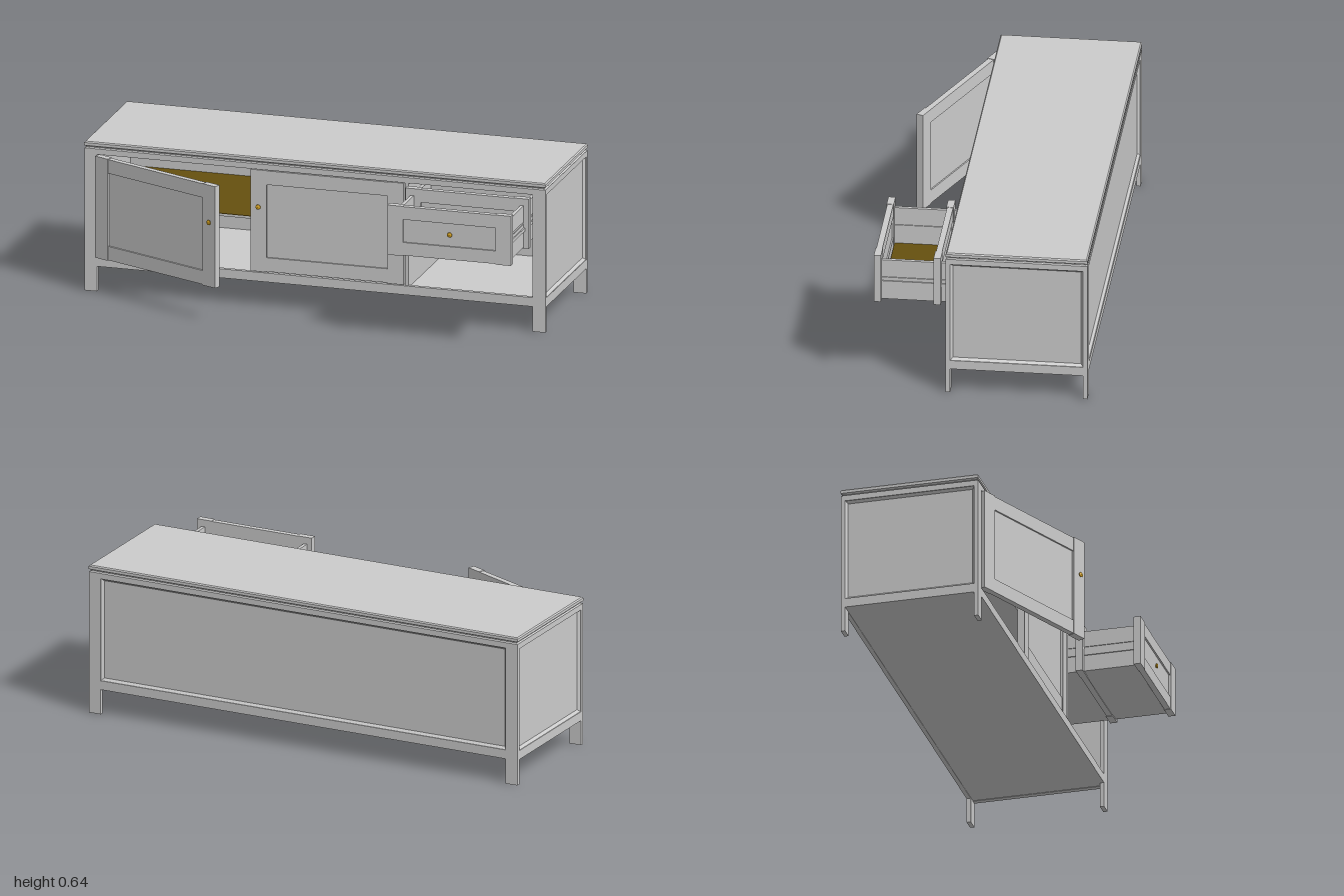
import * as THREE from 'three';

const grey = new THREE.MeshStandardMaterial({ color: 0xcccccc, flatShading: true });
const greyThin = new THREE.MeshStandardMaterial({ color: 0xcccccc, flatShading: true, side: THREE.DoubleSide });
const wood = new THREE.MeshStandardMaterial({ color: 0x66500f });
const brass = new THREE.MeshStandardMaterial({ color: 0xd9a520 });

// Box given by its limits on each axis
function box(parent, name, x0, x1, y0, y1, z0, z1, mat = grey) {
  const m = new THREE.Mesh(new THREE.BoxGeometry(x1 - x0, y1 - y0, z1 - z0), mat);
  m.position.set((x0 + x1) / 2, (y0 + y1) / 2, (z0 + z1) / 2);
  m.name = name;
  parent.add(m);
  return m;
}

// Closed or open skin through rectangles [halfWidth, halfHeight, depth], depth along +z
function rectLoft(rects) {
  const pos = [], idx = [];
  for (const [w, h, d] of rects) pos.push(-w, -h, d, w, -h, d, w, h, d, -w, h, d);
  for (let r = 0; r < rects.length - 1; r++) {
    for (let i = 0; i < 4; i++) {
      const a = r * 4 + i, b = r * 4 + (i + 1) % 4;
      idx.push(a, b, b + 4, a, b + 4, a + 4);
    }
  }
  const e = (rects.length - 1) * 4;
  idx.push(0, 2, 1, 0, 3, 2, e, e + 1, e + 2, e, e + 2, e + 3);
  const g = new THREE.BufferGeometry();
  g.setAttribute('position', new THREE.Float32BufferAttribute(pos, 3));
  g.setIndex(idx);
  const flat = g.toNonIndexed();
  flat.computeVertexNormals();
  return flat;
}

// Recessed panel with a sloping moulding, facing +z
function recessedPanel(name, w, h) {
  const g = new THREE.Group();
  g.name = name;
  box(g, 'panel', -w / 2, w / 2, -h / 2, h / 2, -0.022, -0.014);
  const b = 0.01, depth = 0.014;
  const pos = [], idx = [];
  for (const [a, c, d] of [[w / 2, h / 2, -0.003], [w / 2 - b, h / 2 - b, -depth]])
    pos.push(-a, -c, d, a, -c, d, a, c, d, -a, c, d);
  for (let i = 0; i < 4; i++) {
    const j = (i + 1) % 4;
    idx.push(i, j, j + 4, i, j + 4, i + 4);
  }
  const geo = new THREE.BufferGeometry();
  geo.setAttribute('position', new THREE.Float32BufferAttribute(pos, 3));
  geo.setIndex(idx);
  const flat = geo.toNonIndexed();
  flat.computeVertexNormals();
  const moulding = new THREE.Mesh(flat, greyThin);
  moulding.name = 'moulding';
  g.add(moulding);
  return g;
}

// Small round knob pointing to +z
function knob(parent, x, y, z) {
  const pts = [[0, 0], [0.006, 0], [0.005, 0.003], [0.011, 0.005], [0.01, 0.008], [0, 0.01]]
    .map(p => new THREE.Vector2(...p));
  const m = new THREE.Mesh(new THREE.LatheGeometry(pts, 16), brass);
  m.rotation.x = Math.PI / 2;
  m.position.set(x, y, z);
  m.name = 'knob';
  parent.add(m);
}

// Framed front: x from 0 to w, front face at z = 0, 0.03 thick
function framedFront(name, w, y0, y1, stile, rail) {
  const g = new THREE.Group();
  g.name = name;
  const t = 0.03;
  box(g, 'leftStile', 0, stile, y0, y1, -t, 0);
  box(g, 'rightStile', w - stile, w, y0, y1, -t, 0);
  box(g, 'bottomRail', stile, w - stile, y0 + 0.002, y0 + rail, -t + 0.002, -0.003);
  box(g, 'topRail', stile, w - stile, y1 - rail, y1 - 0.002, -t + 0.002, -0.003);
  box(g, 'panel', stile, w - stile, y0 + rail, y1 - rail, -0.022, -0.01);
  return g;
}

function drawer(name, z) {
  const g = framedFront(name, 0.535, 0.375, 0.59, 0.067, 0.058);
  const back = -0.5, front = -0.03;
  for (const [side, x] of [['left', 0.022], ['right', 0.498]]) {
    box(g, side + 'LowerSide', x, x + 0.015, 0.38, 0.48, back, front);
    box(g, side + 'UpperSide', x, x + 0.015, 0.49, 0.56, back, front);
    box(g, side + 'SideCore', x + 0.004, x + 0.011, 0.48, 0.49, back, front);
    const rx = side === 'left' ? x - 0.005 : x + 0.015;
    box(g, side + 'Runner', rx, rx + 0.005, 0.45, 0.465, back, front);
  }
  box(g, 'drawerBack', 0.037, 0.498, 0.38, 0.56, back, back + 0.012);
  box(g, 'drawerBottom', 0.037, 0.498, 0.386, 0.396, back + 0.012, front, wood);
  box(g, 'drawerUnderside', 0.037, 0.498, 0.38, 0.386, back + 0.012, front);
  knob(g, 0.2675, 0.483, -0.01);
  g.position.set(0.41, 0, z);
  return g;
}

export function createModel() {
  const model = new THREE.Group();
  model.name = 'sideboard';
  const zF = 0.14, zB = -0.45, zMid = (zF + zB) / 2, post = 0.055, pt = 0.018;

  // Corner posts that run down into the legs
  for (const s of [-1, 1]) {
    const x0 = s < 0 ? -0.999 : 0.999 - post;
    box(model, 'frontLeg', x0, x0 + post, 0, 0.617, zF - pt, zF);
    box(model, 'backLeg', x0, x0 + post, 0, 0.617, zB, zB + pt);
  }

  // Rails along front and back
  const inner = 0.999 - post;
  for (const [name, z0] of [['front', zF - pt], ['back', zB]]) {
    box(model, name + 'BottomRail', -inner, inner, 0.108, 0.147, z0, z0 + pt);
    box(model, name + 'TopRail', -inner, inner, 0.593, 0.617, z0, z0 + pt);
  }

  // Side rails and recessed side panels
  for (const s of [-1, 1]) {
    const x0 = s < 0 ? -0.999 : 0.975;
    box(model, 'sideBottomRail', x0, x0 + 0.024, 0.108, 0.147, zB + pt, zF - pt);
    box(model, 'sideTopRail', x0, x0 + 0.024, 0.593, 0.617, zB + pt, zF - pt);
    const p = recessedPanel('sidePanel', zF - zB - 2 * pt, 0.446);
    p.rotation.y = s * Math.PI / 2;
    p.position.set(s * 0.999, 0.37, zMid);
    model.add(p);
  }

  // Recessed back panel
  const backPanel = recessedPanel('backPanel', 2 * inner, 0.446);
  backPanel.rotation.y = Math.PI;
  backPanel.position.set(0, 0.37, zB);
  model.add(backPanel);

  // Floor, ceiling, shelf and divider
  box(model, 'floor', -0.975, 0.975, 0.11, 0.14, zB + pt, zF - pt);
  box(model, 'ceiling', -0.975, 0.975, 0.597, 0.615, zB + pt, zF - pt);
  box(model, 'divider', 0.39, 0.405, 0.14, 0.597, zB + 0.022, zF - 0.005);
  box(model, 'shelf', -0.975, 0.39, 0.363, 0.373, zB + 0.022, 0.1);
  box(model, 'shelfSurface', -0.975, 0.39, 0.373, 0.375, zB + 0.022, 0.1, wood);

  // Top with a shadow groove beneath and chamfered edges
  const hx = 1, hz = (zF - zB) / 2;
  const top = new THREE.Mesh(rectLoft([
    [hx - 0.003, hz - 0.003, 0.615], [hx - 0.003, hz - 0.003, 0.617], [hx - 0.009, hz - 0.009, 0.62],
    [hx - 0.009, hz - 0.009, 0.623], [hx, hz, 0.628], [hx, hz, 0.64], [hx - 0.005, hz - 0.005, 0.645],
  ]), grey);
  top.rotation.x = -Math.PI / 2;
  top.position.z = zMid;
  top.name = 'top';
  model.add(top);

  // Doors: the right one stands ajar, the middle one is closed
  const openDoor = framedFront('openDoor', 0.655, 0.15, 0.59, 0.068, 0.062);
  knob(openDoor, 0.625, 0.43, 0);
  openDoor.position.set(-0.948, 0, 0.154);
  openDoor.rotation.y = -THREE.MathUtils.degToRad(23.5);
  model.add(openDoor);

  const closedDoor = framedFront('closedDoor', 0.662, 0.15, 0.59, 0.068, 0.062);
  knob(closedDoor, 0.034, 0.43, 0);
  closedDoor.position.set(-0.279, 0, zF - 0.002);
  model.add(closedDoor);

  // Two drawers pulled out by different amounts
  model.add(drawer('frontDrawer', 0.446), drawer('rearDrawer', 0.197));
  return model;
}
